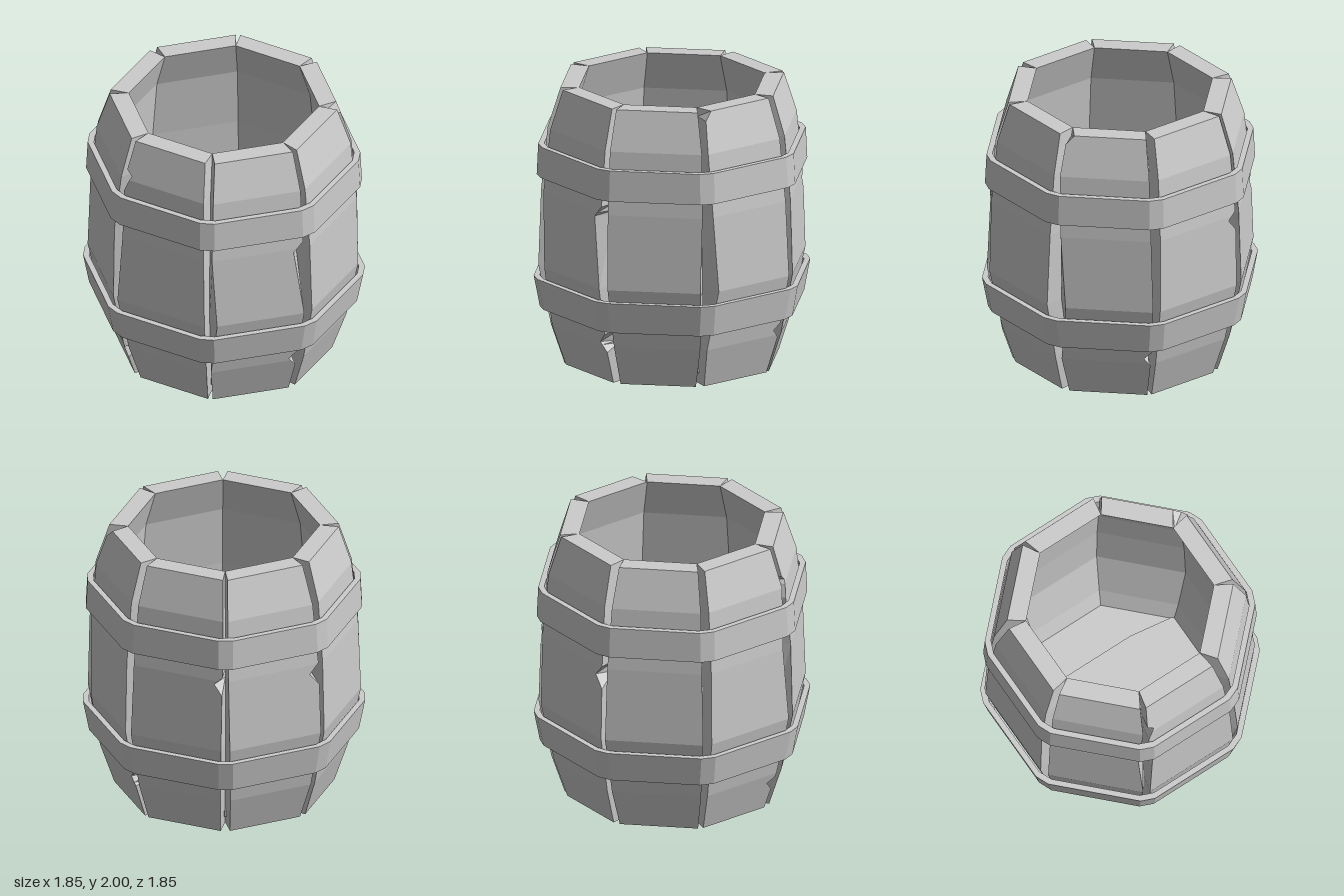
import * as THREE from 'three';

const T = Math.tan(Math.PI / 8);
const material = new THREE.MeshStandardMaterial({ color: 0xcccccc, flatShading: true, side: THREE.DoubleSide });

// Skins a series of four-cornered cross-sections, capped or joined end to start.
function loft(rows, closed) {
  const pos = [];
  const quad = (a, b, c, d) => [a, b, c, a, c, d].forEach(p => pos.push(...p));
  const n = rows.length;
  for (let i = 0; i < (closed ? n : n - 1); i++) {
    const r = rows[i], s = rows[(i + 1) % n];
    for (let k = 0; k < 4; k++) quad(r[k], r[(k + 1) % 4], s[(k + 1) % 4], s[k]);
  }
  if (!closed) {
    quad(...rows[n - 1]);
    quad(...[...rows[0]].reverse());
  }
  const g = new THREE.BufferGeometry();
  g.setAttribute('position', new THREE.Float32BufferAttribute(pos, 3));
  g.computeVertexNormals();
  return g;
}

function addMesh(parent, name, geometry) {
  const mesh = new THREE.Mesh(geometry, material);
  mesh.name = name;
  parent.add(mesh);
  return mesh;
}

// Bulging outline: [height, distance of the outer face from the axis]
const profile = [[0, 0.715], [0.29, 0.805], [0.73, 0.89], [1.27, 0.873], [1.72, 0.83], [2, 0.745]];

function radiusAt(y) {
  for (let i = 1; i < profile.length; i++) {
    const [y0, r0] = profile[i - 1], [y1, r1] = profile[i];
    if (y <= y1) return r0 + (r1 - r0) * (y - y0) / (y1 - y0);
  }
  return profile[profile.length - 1][1];
}

// One stave; each cut is [height, side, depth, reach below, reach above] on an outer edge.
function staveGeometry(cuts, seed) {
  const heights = new Set(profile.map(p => p[0]));
  cuts.forEach(([y, , , below, above]) => [y - below, y, y + above].forEach(h => heights.add(h)));
  const rows = [...heights].sort((a, b) => a - b).map(y => {
    const r = radiusAt(y), inner = r - 0.13;
    const edge = side => {
      const wobble = 0.01 * Math.sin(seed * 2.3 + side + y * 2);
      // A cut fades out linearly over its reach
      const depth = cuts.reduce((sum, [h, s, d, below, above]) => {
        const fade = y <= h ? (h - y) / below : (y - h) / above;
        return s === side ? sum + d * Math.max(0, 1 - fade) : sum;
      }, 0);
      return side * (r * T - 0.027 + wobble - depth);
    };
    const w = inner * T;
    return [[edge(-1), y, r], [edge(1), y, r], [w, y, inner], [-w, y, inner]];
  });
  return loft(rows, false);
}

// Eight-sided band with blunted corners
function hoopGeometry(y0, y1, r0, r1) {
  const rows = [];
  for (let i = 0; i < 8; i++) {
    for (const side of [-1, 1]) {
      const at = (r, y) => {
        const v = new THREE.Vector3(side * (r * T - 0.055), y, r);
        return v.applyAxisAngle(new THREE.Vector3(0, 1, 0), i * Math.PI / 4).toArray();
      };
      rows.push([at(r1, y1), at(r0, y0), at(r0 - 0.04, y0), at(r1 - 0.04, y1)]);
    }
  }
  return loft(rows, true);
}

// Flat board cut from an outline on the ground plane
function boardGeometry(outline, y, thickness) {
  const shape = new THREE.Shape(outline.map(([x, z]) => new THREE.Vector2(x, z)));
  const g = new THREE.ExtrudeGeometry(shape, { depth: thickness, bevelEnabled: false });
  g.rotateX(-Math.PI / 2);
  g.translate(0, y, 0);
  return g;
}

export function createModel() {
  const barrel = new THREE.Group();
  barrel.name = 'barrel';

  // Staves, counted from the front towards the left: short nicks and long worn edges
  const cuts = [
    [[1.75, -1, 0.05, 0.12, 0.04], [1.27, -1, 0.03, 0.54, 0.45]],
    [[0.31, 1, 0.06, 0.07, 0.07], [1.24, 1, 0.07, 0.51, 0.08], [0.73, -1, 0.05, 0.44, 0.54]],
    [[0.73, 1, 0.03, 0.44, 0.99]],
    [[2, -1, 0.05, 0.06, 0.01], [0.33, 1, 0.05, 0.06, 0.05], [0.73, -1, 0.08, 0.44, 0.99]],
    [[1.24, 1, 0.06, 0.08, 0.06]],
    [[1.2, 1, 0.07, 0.09, 0.08]],
    [],
    [[0.22, 1, 0.06, 0.06, 0.04], [1.27, 1, 0.04, 0.54, 0.45]],
  ];
  const staves = new THREE.Group();
  staves.name = 'staves';
  cuts.forEach((list, i) => {
    const inside = list.map(([y, s, d, below, above]) => [y, s, d, below, Math.min(above, 2 - y)]);
    addMesh(staves, 'stave', staveGeometry(inside, i)).rotation.y = i * Math.PI / 4;
  });
  barrel.add(staves);

  // Hoops
  addMesh(barrel, 'lowerHoop', hoopGeometry(0.42, 0.645, 0.885, 0.925));
  addMesh(barrel, 'upperHoop', hoopGeometry(1.38, 1.6, 0.905, 0.895));

  // Floor of three boards with bowed seams, the middle one slightly proud
  const floor = new THREE.Group();
  floor.name = 'floor';
  const R = 0.65, k = R * T;
  const seam = [[R, k], [0.3, 0.32], [-0.3, 0.32], [-R, k]];
  const middle = [...seam, ...seam.map(([x, z]) => [-x, -z])];
  addMesh(floor, 'middleBoard', boardGeometry(middle, 0.09, 0.05));
  for (const turn of [0, Math.PI]) {
    addMesh(floor, 'outerBoard', boardGeometry([...seam, [-k, R], [k, R]], 0.08, 0.05)).rotation.y = turn;
  }
  barrel.add(floor);

  return barrel;
}
